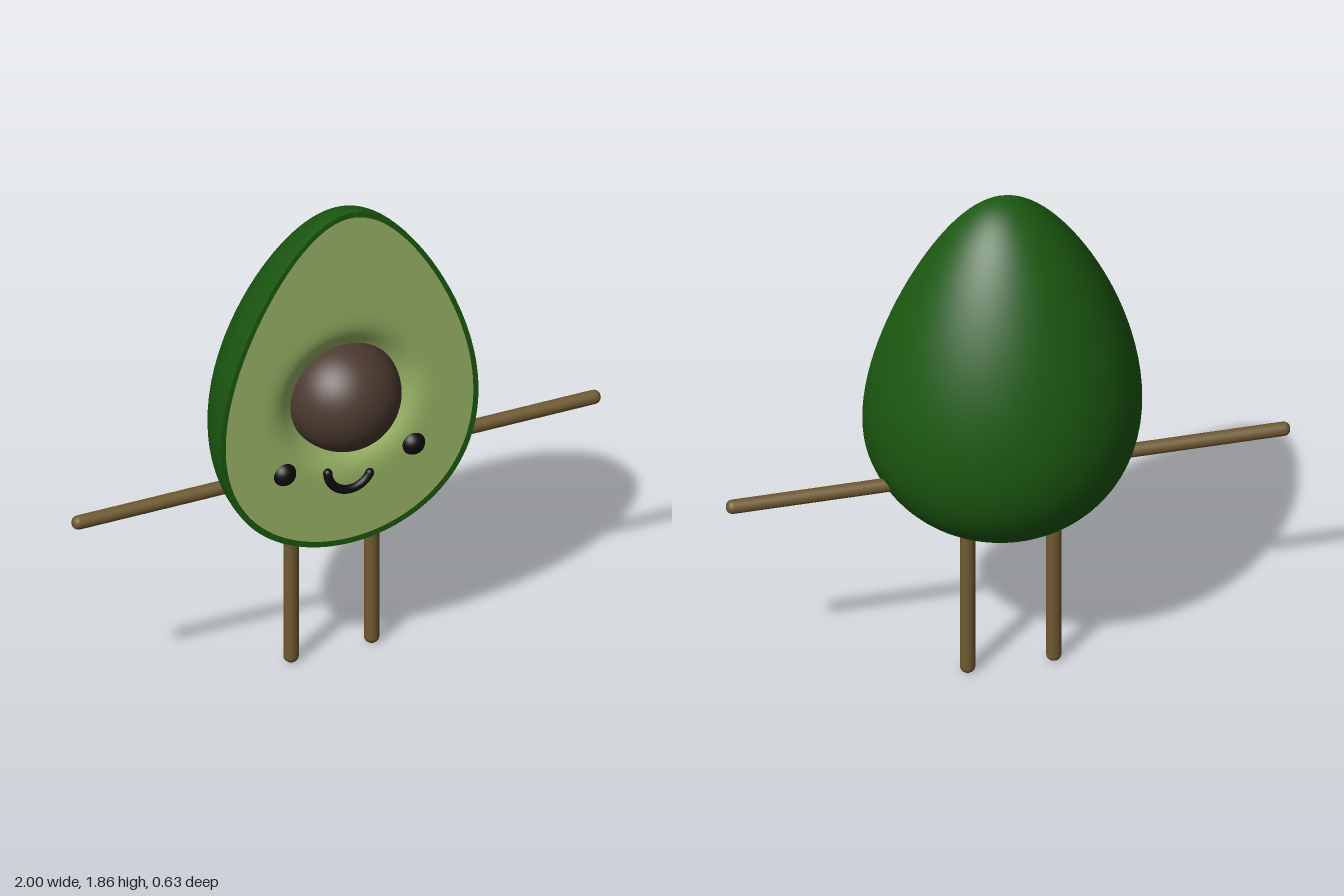
import * as THREE from 'three';

const FACE_Z = 0.175;
const PIT = { y: 1.095, z: 0.115, r: 0.205 };

// Egg outline: t = 0 at the bottom, PI at the top, 2 PI back at the bottom
function egg(t, sx = 1, sy = 1) {
  const c = Math.cos(t);
  return new THREE.Vector2(
    0.471 * Math.sin(t) * (1 + 0.296 * c) * sx,
    1.1875 - 0.6675 * c * sy
  );
}

const inner = (t) => egg(t, 0.96, 0.968);

function loop(fn, n) {
  return Array.from({ length: n }, (_, i) => fn((i / n) * Math.PI * 2));
}

// Cut face with a soft hollow around the pit, made of rings
function fleshGeometry(rings = 36, n = 128) {
  const pos = [], index = [];
  for (let i = 0; i <= rings; i++) {
    const s = Math.pow(i / rings, 1.7);
    for (let j = 0; j < n; j++) {
      const edge = inner((j / n) * Math.PI * 2);
      const dx = edge.x, dy = edge.y - PIT.y;
      const len = Math.hypot(dx, dy);
      const d = THREE.MathUtils.lerp(0.15, len, s);
      const dip = 0.055 * Math.exp(-Math.pow(Math.max(d - 0.17, 0) / 0.075, 2));
      pos.push((dx / len) * d, PIT.y + (dy / len) * d, FACE_Z - dip);
      if (i < rings) {
        const a = i * n + j, d2 = i * n + ((j + 1) % n);
        index.push(a, a + n, d2 + n, a, d2 + n, d2);
      }
    }
  }
  const g = new THREE.BufferGeometry();
  g.setAttribute('position', new THREE.Float32BufferAttribute(pos, 3));
  g.setIndex(index);
  g.computeVertexNormals();
  return g;
}

// Round stick with softened ends, standing on y = 0
function stickGeometry(r, length) {
  const end = [[0, 0], [0.5, 0.005], [0.8, 0.25], [0.95, 0.5], [1, 0.85]];
  const pts = [
    ...end.map(([x, y]) => new THREE.Vector2(x * r, y * r)),
    ...end.reverse().map(([x, y]) => new THREE.Vector2(x * r, length - y * r)),
  ];
  return new THREE.LatheGeometry(pts, 20);
}

export function createModel() {
  const group = new THREE.Group();
  const material = (color) => new THREE.MeshStandardMaterial({ color });
  const skinMat = material(0x1b5810);
  const fleshMat = material(0x9ab566);
  const pitMat = material(0x4b392f);
  const stickMat = material(0x6f5a32);
  const blackMat = material(0x0c0c0c);

  function add(name, geometry, mat, x = 0, y = 0, z = 0, parent = group) {
    const mesh = new THREE.Mesh(geometry, mat);
    mesh.name = name;
    mesh.position.set(x, y, z);
    parent.add(mesh);
    return mesh;
  }

  // Skin: half a turned egg
  const profile = Array.from({ length: 49 }, (_, i) => egg((i / 48) * Math.PI));
  profile[0].x = profile[48].x = 0;
  add('skin', new THREE.LatheGeometry(profile, 64, Math.PI / 2, Math.PI), skinMat, 0, 0, FACE_Z);

  // Flat skin edge around the flesh
  const rim = new THREE.Shape(loop((t) => egg(t), 128));
  rim.holes.push(new THREE.Path(loop(inner, 128)));
  add('skinRim', new THREE.ShapeGeometry(rim), skinMat, 0, 0, FACE_Z);

  add('flesh', fleshGeometry(), fleshMat);
  add('pit', new THREE.SphereGeometry(PIT.r, 48, 32), pitMat, 0, PIT.y, PIT.z);

  // Smile: an arc with round ends
  const smile = new THREE.Group();
  smile.name = 'smile';
  smile.position.set(0, 0.826, FACE_Z + 0.003);
  group.add(smile);
  const R = 0.084, tube = 0.016, start = Math.PI, sweep = 2.67;
  add('smileArc', new THREE.TorusGeometry(R, tube, 16, 40, sweep), blackMat, 0, 0, 0, smile)
    .rotation.z = start;
  for (const a of [start, start + sweep]) {
    add('smileEnd', new THREE.SphereGeometry(tube, 16, 12), blackMat,
      R * Math.cos(a), R * Math.sin(a), 0, smile);
  }

  // Eyes, arms and legs on both sides
  for (const [side, s] of [['left', 1], ['right', -1]]) {
    add(side + 'Eye', new THREE.SphereGeometry(0.045, 24, 16), blackMat, s * 0.245, 0.858, 0.16);
    add(side + 'Arm', stickGeometry(0.025, 0.62), stickMat, s, 0.795, 0.064)
      .rotation.z = s * Math.PI / 2;
    add(side + 'Leg', stickGeometry(0.027, 0.62), stickMat, s * 0.153, 0, 0.026);
  }

  return group;
}
